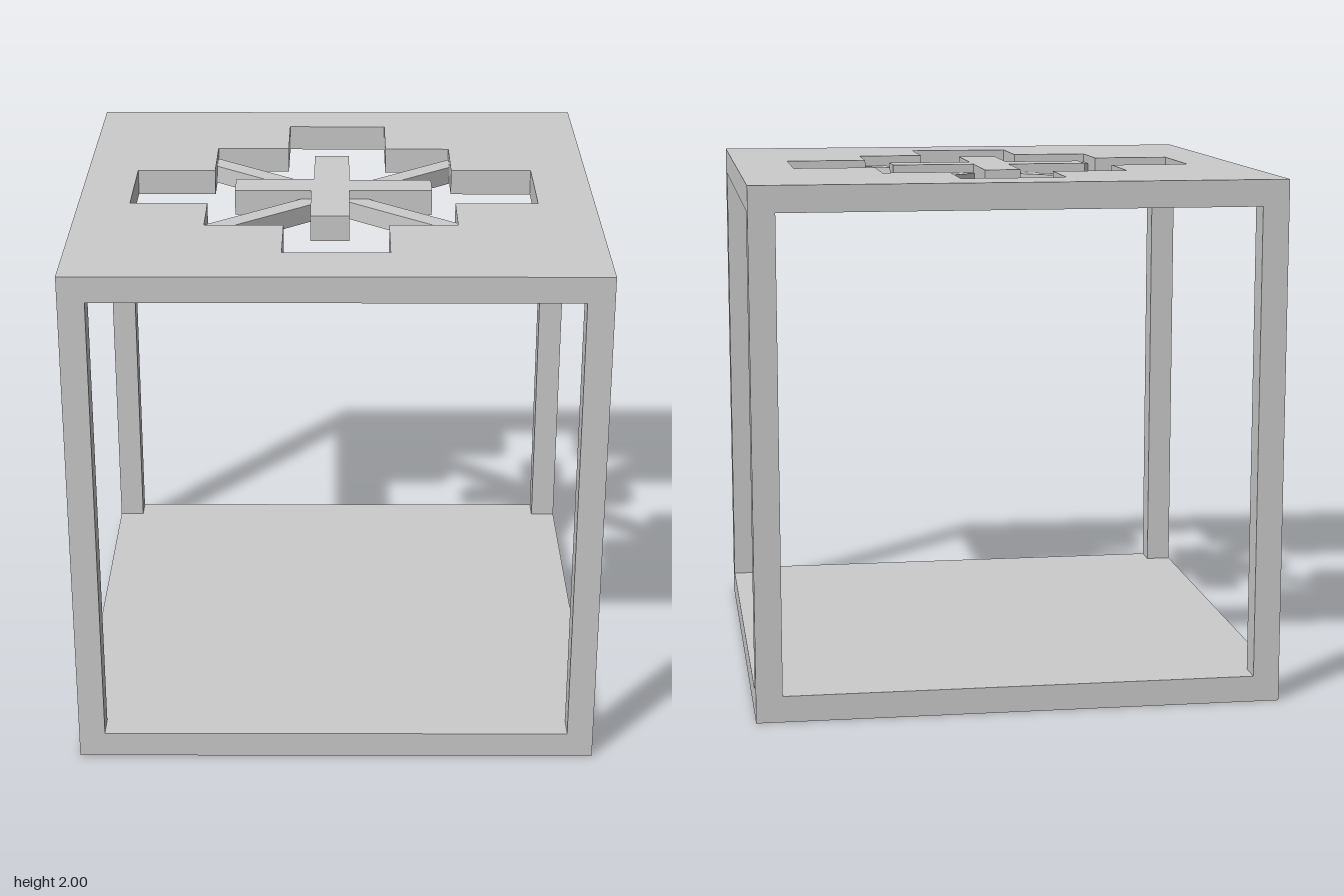
import * as THREE from 'three';

const SLAB = 0.1;

// Corner points are given as [x, z] seen from above; extrusion becomes height.
const toPoints = (pts) => pts.map(([x, z]) => new THREE.Vector2(x, -z));

function slabGeometry(shape, y) {
  const geo = new THREE.ExtrudeGeometry(shape, { depth: SLAB, bevelEnabled: false });
  geo.rotateX(-Math.PI / 2);
  geo.translate(0, y, 0);
  return geo;
}

export function createModel() {
  const model = new THREE.Group();
  model.name = 'openCubeFrame';
  const material = new THREE.MeshStandardMaterial({ color: 0xcccccc, flatShading: true });

  const add = (name, geometry, x = 0, y = 0, z = 0, turn = 0) => {
    const mesh = new THREE.Mesh(geometry, material);
    mesh.name = name;
    mesh.position.set(x, y, z);
    mesh.rotation.y = turn;
    model.add(mesh);
  };

  // Solid floor
  add('basePlate', new THREE.BoxGeometry(2, SLAB, 2), 0, SLAB / 2, 0);

  // Four corner posts between the plates
  const postGeo = new THREE.BoxGeometry(0.1, 1.8, 0.1);
  for (const x of [-0.95, 0.95]) {
    for (const z of [-0.95, 0.95]) add('cornerPost', postGeo, x, 1, z);
  }

  // Top plate with a stepped cross-shaped opening
  const top = new THREE.Shape(toPoints([[-1, -1], [-1, 1], [1, 1], [1, -1]]));
  top.holes.push(new THREE.Path(toPoints([
    [-0.2, -0.79], [0.2, -0.79], [0.2, -0.48], [0.46, -0.48], [0.46, -0.2],
    [0.78, -0.2], [0.78, 0.2], [0.46, 0.2], [0.46, 0.45], [0.2, 0.45],
    [0.2, 0.75], [-0.2, 0.75], [-0.2, 0.45], [-0.5, 0.45], [-0.5, 0.2],
    [-0.8, 0.2], [-0.8, -0.2], [-0.49, -0.2], [-0.49, -0.49], [-0.2, -0.49],
  ])));
  add('topPlate', slabGeometry(top, 1.9));

  // Small cross in the middle of the opening
  const cross = new THREE.Shape(toPoints([
    [-0.09, -0.39], [0.05, -0.39], [0.05, -0.08], [0.375, -0.08], [0.375, 0.05],
    [0.05, 0.05], [0.05, 0.35], [-0.1, 0.35], [-0.1, 0.05], [-0.4, 0.05],
    [-0.4, -0.09], [-0.09, -0.09],
  ]));
  add('centreCross', slabGeometry(cross, 1.9));

  // Two diagonal bars carrying the cross, just proud of the plate's underside
  const barGeo = new THREE.BoxGeometry(1.69, 0.07, 0.077);
  const angle = Math.atan(0.83);
  add('diagonalBar', barGeo, -0.005, 1.931, -0.005, -angle);
  add('diagonalBar', barGeo, -0.005, 1.931, -0.01, angle);

  return model;
}
